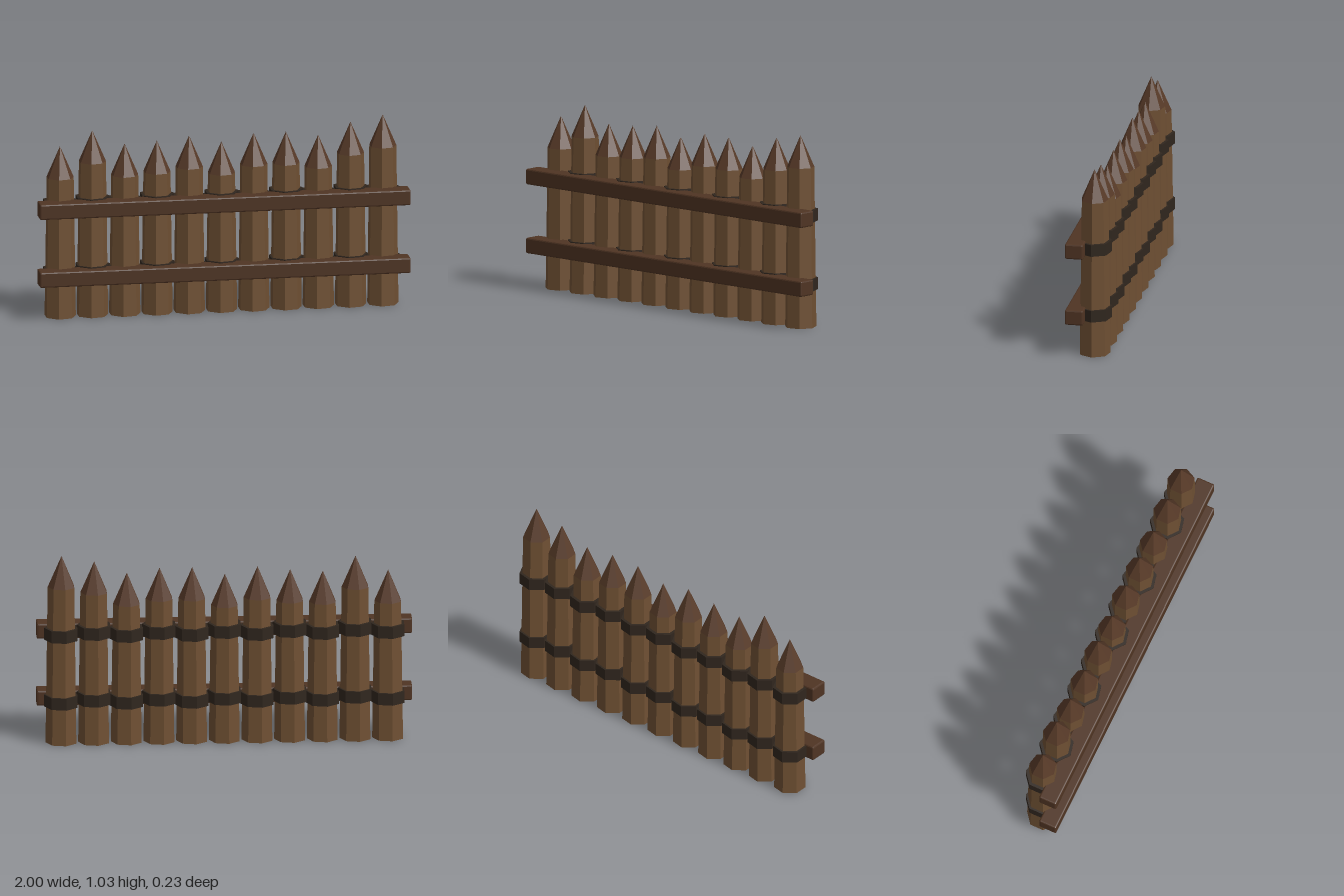
import * as THREE from 'three';
import { RoundedBoxGeometry } from 'three/addons/geometries/RoundedBoxGeometry.js';

const SIDES = 7;
const POST_Z = -0.022;
const SPACING = 0.174;
const TIP_HEIGHT = 0.17;
const TOP_RADIUS = 0.074;
// Height of each stake's point, from -x to +x
const HEIGHTS = [0.93, 1.01, 0.93, 0.94, 0.96, 0.92, 0.96, 0.96, 0.935, 1.0, 1.033];

const paint = (color) => new THREE.MeshStandardMaterial({ color, flatShading: true });

export function createModel() {
  const fence = new THREE.Group();
  fence.name = 'palisadeFence';

  const wood = paint(0x6f5033);
  const cutWood = paint(0x573a28);
  const railWood = paint(0x4f3423);
  const strap = paint(0x30261e);

  // Seven-sided section with one corner facing +x
  const add = (parent, name, rTop, rBottom, y0, y1, material) => {
    const geometry = new THREE.CylinderGeometry(rTop, rBottom, y1 - y0, SIDES);
    geometry.rotateY(Math.PI / 2);
    const mesh = new THREE.Mesh(geometry, material);
    mesh.name = name;
    mesh.position.y = (y0 + y1) / 2;
    parent.add(mesh);
  };

  // Stakes: tapered shaft, sharpened point and two dark straps
  HEIGHTS.forEach((height, i) => {
    const stake = new THREE.Group();
    stake.name = `stake${i + 1}`;
    stake.position.set((i - (HEIGHTS.length - 1) / 2) * SPACING, 0, POST_Z);
    const shoulder = height - TIP_HEIGHT;
    add(stake, 'shaft', TOP_RADIUS, 0.0855, 0, shoulder, wood);
    add(stake, 'point', 0, TOP_RADIUS, shoulder, height, cutWood);
    const lift = (i % 2) * 0.014;
    add(stake, 'lowerStrap', 0.093, 0.093, 0.2 + lift, 0.265 + lift, strap);
    add(stake, 'upperStrap', 0.093, 0.093, 0.571 + lift, 0.636 + lift, strap);
    fence.add(stake);
  });

  // Two horizontal rails across the front
  for (const [name, y] of [['lowerRail', 0.232], ['upperRail', 0.604]]) {
    const rail = new THREE.Mesh(new RoundedBoxGeometry(2, 0.084, 0.1, 1, 0.008), railWood);
    rail.name = name;
    rail.position.set(0, y, 0.065);
    fence.add(rail);
  }

  return fence;
}
